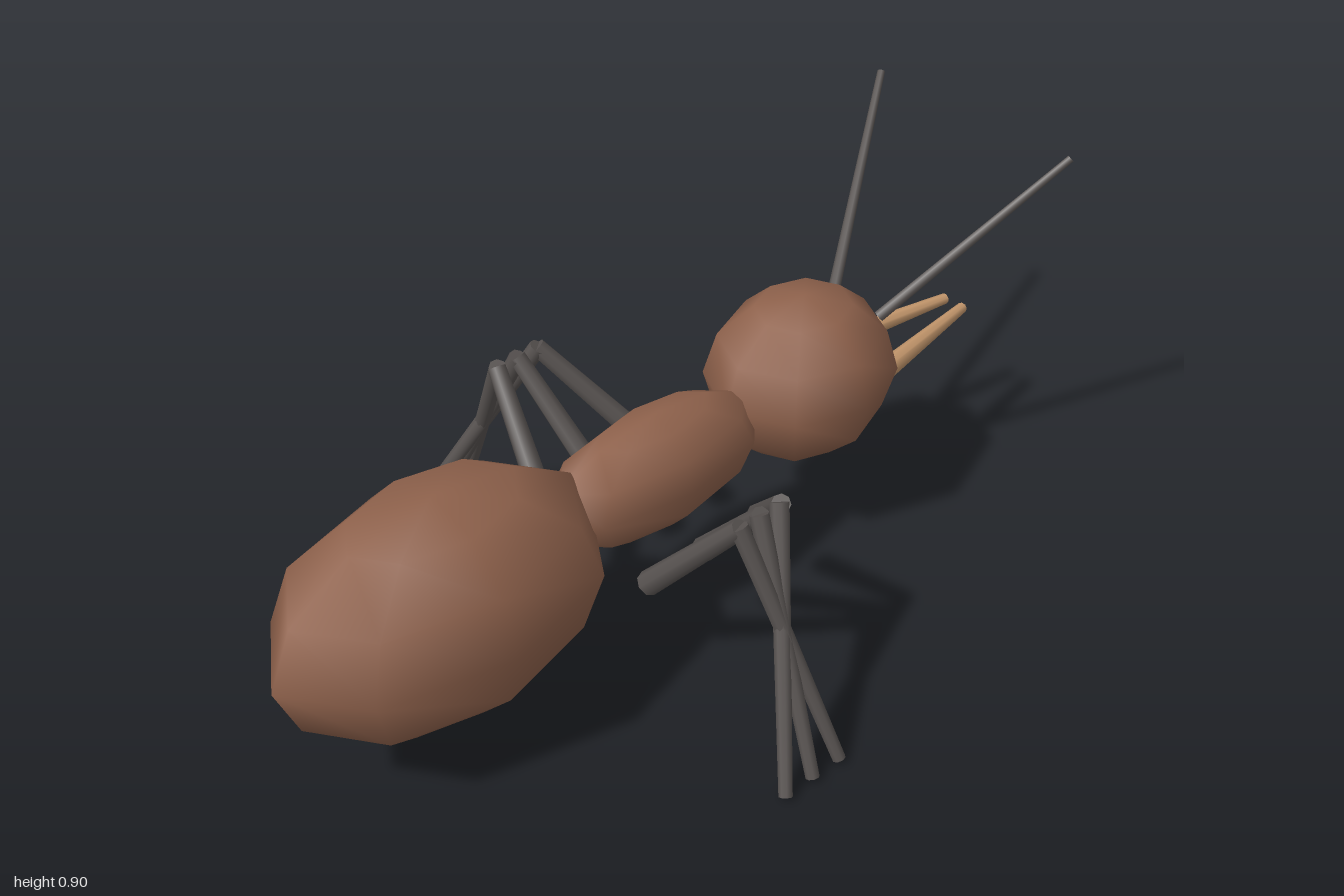
import * as THREE from 'three';

const bodyBrown = new THREE.MeshStandardMaterial({ name: 'bodyBrown', color: 0x8f624c });
const limbGrey = new THREE.MeshStandardMaterial({ name: 'limbGrey', color: 0x575250 });
const jawTan = new THREE.MeshStandardMaterial({ name: 'jawTan', color: 0xc4976c });

// Low-poly ellipsoid with smooth normals
function ellipsoid(name, center, radii) {
  const geometry = new THREE.SphereGeometry(1, 8, 6).scale(...radii);
  const mesh = new THREE.Mesh(geometry, bodyBrown);
  mesh.name = name;
  mesh.position.set(...center);
  return mesh;
}

// Tapered rod from point a (radius ra) to point b (radius rb)
function rod(name, a, b, ra, rb, material) {
  const start = new THREE.Vector3(...a);
  const end = new THREE.Vector3(...b);
  const axis = end.clone().sub(start);
  const mesh = new THREE.Mesh(new THREE.CylinderGeometry(rb, ra, axis.length(), 8), material);
  mesh.name = name;
  mesh.position.copy(start).add(end).multiplyScalar(0.5);
  mesh.quaternion.setFromUnitVectors(new THREE.Vector3(0, 1, 0), axis.normalize());
  return mesh;
}

export function createModel() {
  const ant = new THREE.Group();
  ant.name = 'ant';

  // Three body segments along x, head towards +x
  ant.add(
    ellipsoid('abdomen', [-0.59, 0.375, 0], [0.41, 0.266, 0.247]),
    ellipsoid('thorax', [0, 0.398, 0], [0.31, 0.142, 0.124]),
    ellipsoid('head', [0.453, 0.436, 0], [0.235, 0.204, 0.206])
  );

  // x of hip, knee and foot for the rear, middle and front legs
  const legs = [
    ['rear', -0.17, -0.118, -0.05],
    ['middle', -0.01, -0.06, -0.13],
    ['front', 0.16, -0.002, -0.21]
  ];

  for (const s of [1, -1]) {
    for (const [name, hip, knee, foot] of legs) {
      const leg = new THREE.Group();
      leg.name = name + 'Leg';
      leg.add(
        rod('upperLeg', [hip, 0.272, s * 0.165], [knee, 0.522, s * 0.38], 0.028, 0.021, limbGrey),
        rod('lowerLeg', [knee, 0.524, s * 0.375], [foot, 0.008, s * 0.622], 0.021, 0.015, limbGrey)
      );
      ant.add(leg);
    }

    // Feelers and jaws on the head
    ant.add(
      rod('antenna', [0.63, 0.535, s * 0.07], [0.99, 0.89, s * 0.28], 0.014, 0.009, limbGrey),
      rod('mandible', [0.62, 0.38, s * 0.085], [0.99, 0.375, s * 0.027], 0.026, 0.013, jawTan)
    );
  }
  return ant;
}
